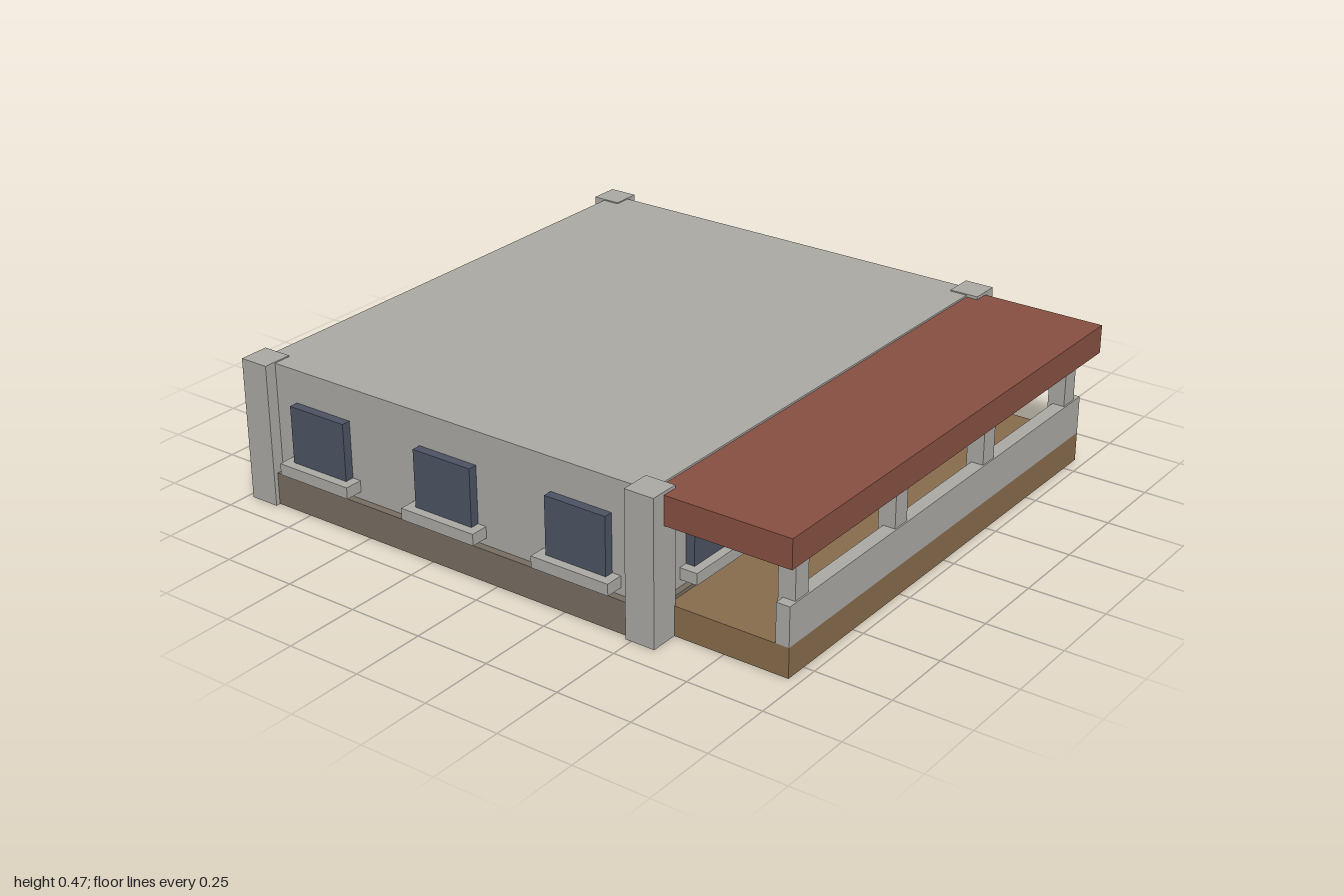
import * as THREE from 'three';

const mat = (name, color) => {
  const m = new THREE.MeshStandardMaterial({ color });
  m.name = name;
  return m;
};

export function createModel() {
  const concrete = mat('concrete', 0xa9a8a3);
  const plinthStone = mat('plinth stone', 0x776d62);
  const glass = mat('window glass', 0x4b5262);
  const wood = mat('wood', 0x866b4b);
  const roofRed = mat('red roof', 0x864f41);

  const house = new THREE.Group();
  house.name = 'house';

  // Box given by its lower and upper limits on each axis
  const box = (name, material, [x0, x1], [y0, y1], [z0, z1], parent = house) => {
    const mesh = new THREE.Mesh(new THREE.BoxGeometry(x1 - x0, y1 - y0, z1 - z0), material);
    mesh.position.set((x0 + x1) / 2, (y0 + y1) / 2, (z0 + z1) / 2);
    mesh.name = name;
    parent.add(mesh);
    return mesh;
  };

  // Main block and the plinth around its foot
  box('body', concrete, [-0.88, 0.88], [0, 0.47], [-0.94, 0.54]);
  box('plinth', plinthStone, [-0.905, 0.905], [0.001, 0.108], [-0.962, 0.56]);

  // Corner pillars
  for (const x of [-0.87, 0.87]) {
    for (const z of [-0.93, 0.53]) {
      box('cornerPillar', concrete, [x - 0.05, x + 0.05], [0, 0.474], [z - 0.05, z + 0.05]);
    }
  }

  // Window with sill, placed on a wall and turned to face outwards
  const addWindow = (x, z, turn, halfWidth) => {
    const group = new THREE.Group();
    group.name = 'window';
    box('pane', glass, [-halfWidth, halfWidth], [0.17, 0.36], [-0.01, 0.03], group);
    box('sill', concrete, [-halfWidth - 0.03, halfWidth + 0.03], [0.132, 0.17], [-0.01, 0.06], group);
    group.position.set(x, 0, z);
    group.rotation.y = turn;
    house.add(group);
  };
  for (const z of [-0.69, -0.195, 0.297]) {
    addWindow(0.88, z, Math.PI / 2, 0.108);
    addWindow(-0.88, z, -Math.PI / 2, 0.108);
  }
  for (const x of [-0.585, 0, 0.585]) addWindow(x, -0.94, Math.PI, 0.13);
  for (const x of [-0.585, 0.585]) addWindow(x, 0.54, 0, 0.13);

  // Front door
  box('door', wood, [-0.13, 0.13], [0.09, 0.34], [0.53, 0.57]);

  // Porch floor, parapet, posts and roof
  box('porchFloor', wood, [-0.825, 0.825], [0, 0.097], [0.54, 0.965]);
  box('porchParapet', concrete, [-0.825, 0.825], [0.097, 0.225], [0.92, 0.965]);
  for (const x of [-0.76, -0.25, 0.25, 0.76]) {
    box('porchPost', concrete, [x - 0.032, x + 0.032], [0.097, 0.372], [0.903, 0.96]);
  }
  box('porchRoof', roofRed, [-0.872, 0.872], [0.37, 0.464], [0.54, 1]);

  return house;
}
